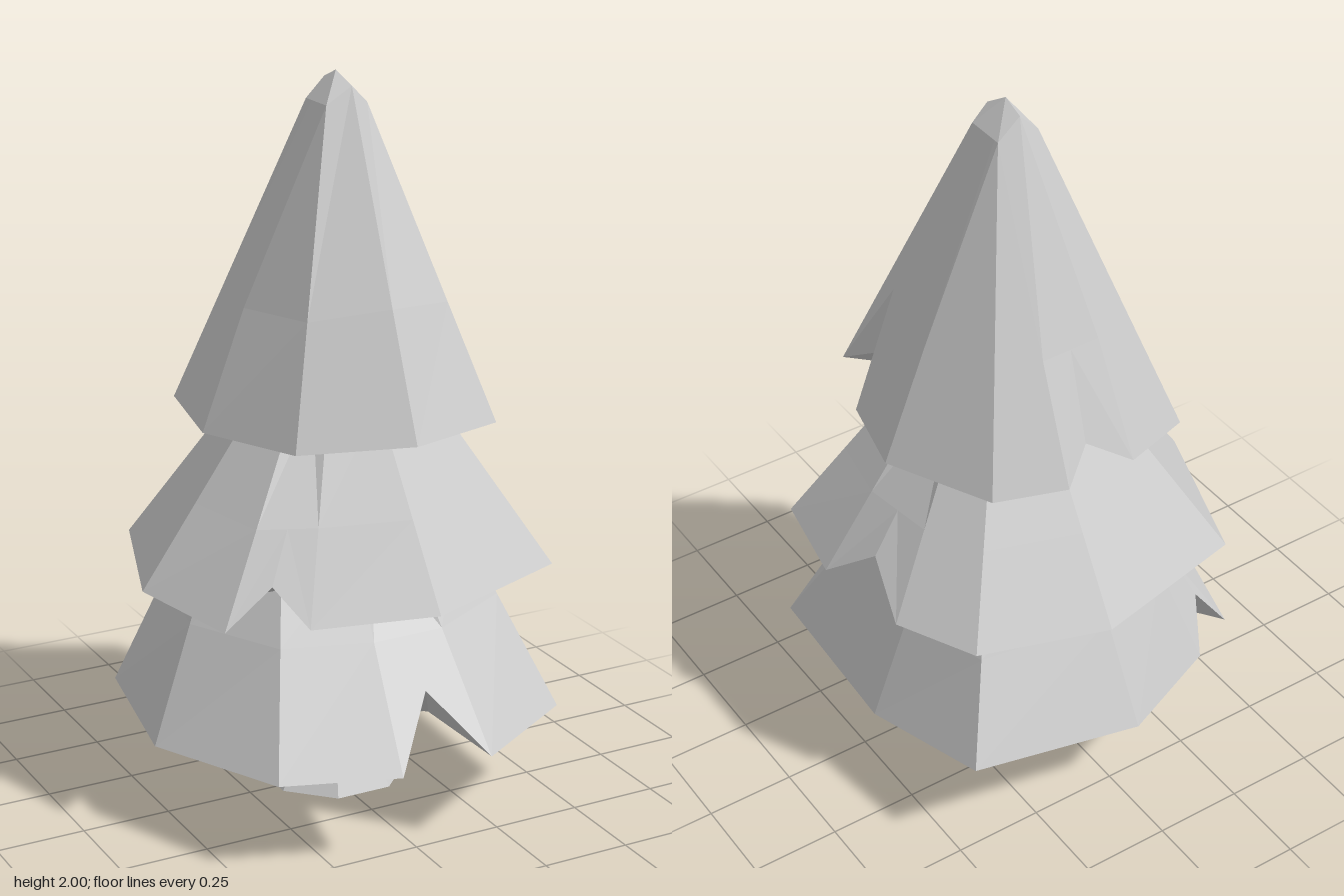
import * as THREE from 'three';

const material = new THREE.MeshStandardMaterial({ color: 0xcccccc, flatShading: true });

// Joins equal-sized closed rings of [x, y, z] from bottom to top.
// flip(i) picks the other quad diagonal, so that notches fold cleanly.
function loft(name, rings, flip) {
  const n = rings[0].length;
  const index = [];
  for (let r = 0; r < rings.length - 1; r++) {
    for (let i = 0; i < n; i++) {
      const j = (i + 1) % n;
      const a = r * n + i, b = r * n + j, c = a + n, d = b + n;
      if (flip(j)) index.push(a, c, d, a, d, b);
      else index.push(a, c, b, c, d, b);
    }
  }
  const geometry = new THREE.BufferGeometry();
  geometry.setAttribute('position', new THREE.Float32BufferAttribute(rings.flat(2), 3));
  geometry.setIndex(index);
  geometry.computeVertexNormals();
  const mesh = new THREE.Mesh(geometry, material);
  mesh.name = name;
  return mesh;
}

// One skirt of branches. rim: [x, y, z, isNotch], clockwise from above.
function tier(name, { rim, top, tip, groove, rise }) {
  const n = rim.length;
  const isNotch = (i) => Boolean(rim[i][3]);
  const lower = rim.map(([x, y, z]) => [x, y, z]);
  const upper = lower.map(top);
  const mix = (p, q, t) => p.map((v, k) => v + (q[k] - v) * t);
  const straight = lower.map((p, i) => mix(p, upper[i], groove));
  // above a notch the groove runs out into the plain slope
  const mid = straight.map((p, i) =>
    isNotch(i) ? mix(straight[(i + n - 1) % n], straight[(i + 1) % n], 0.5) : p);
  const baseY = Math.min(...lower.map((p) => p[1]));
  const inner = lower.map(([x, , z]) => [x * 0.62, baseY + rise, z * 0.62]);
  const hub = lower.map(() => [0.03, baseY + rise, -0.03]);
  return loft(name, [hub, inner, lower, mid, upper, lower.map(() => tip)], isNotch);
}

export function createModel() {
  const tree = new THREE.Group();
  tree.name = 'pineTree';

  // flared trunk
  const trunkRing = (radius, y) => Array.from({ length: 8 }, (_, i) => {
    const a = (i + 0.5) * Math.PI / 4;
    return [0.03 + radius * Math.cos(a), y, -0.045 + radius * Math.sin(a)];
  });
  tree.add(loft('trunk', [
    trunkRing(0, 0), trunkRing(0.21, 0), trunkRing(0.155, 0.1), trunkRing(0.125, 0.25), trunkRing(0.12, 0.4),
  ], () => false));

  // bottom branches
  tree.add(tier('lowerBranches', {
    rim: [
      [-0.49, 0.25, -0.375], [-0.38, 0.4, -0.37, true], [-0.34, 0.25, -0.455],
      [-0.03, 0.25, -0.585], [0.47, 0.32, -0.535], [0.545, 0.25, -0.14],
      [0.52, 0.25, 0.365], [0.18, 0.26, 0.58], [0.045, 0.43, 0.46, true],
      [-0.09, 0.26, 0.585], [-0.4, 0.26, 0.48], [-0.57, 0.245, 0.08],
    ],
    top: ([x, , z]) => [x * 0.62 + 0.015, 0.75, z * 0.5 - 0.07],
    tip: [0.03, 0.8, -0.05], groove: 0.6, rise: 0.07,
  }));

  // middle branches
  tree.add(tier('middleBranches', {
    rim: [
      [-0.395, 0.65, -0.47], [0.06, 0.645, -0.57], [0.415, 0.65, -0.46],
      [0.525, 0.65, -0.24], [0.49, 0.76, -0.085, true], [0.565, 0.645, 0.055],
      [0.52, 0.655, 0.32], [0.045, 0.67, 0.535], [-0.27, 0.645, 0.41],
      [-0.33, 0.74, 0.31, true], [-0.465, 0.635, 0.305], [-0.55, 0.65, -0.025],
    ],
    top: ([x, , z]) => [x * 0.4 + 0.025, 1.15, z * 0.4 - 0.015],
    tip: [0.03, 1.2, -0.03], groove: 0.45, rise: 0.04,
  }));

  // top branches, closing in a small blunt tip
  const { clamp } = THREE.MathUtils;
  tree.add(tier('upperBranches', {
    rim: [
      [-0.29, 1.06, -0.375], [-0.09, 1.065, -0.44], [0.035, 1.15, -0.4, true],
      [0.12, 1.07, -0.45], [0.31, 1.065, -0.38], [0.445, 1.055, -0.08],
      [0.4, 1.07, 0.14], [0.29, 1.18, 0.195, true], [0.325, 1.095, 0.33],
      [0.055, 1.085, 0.385], [-0.23, 1.065, 0.25], [-0.35, 1.055, -0.06],
    ],
    top: ([x, , z]) => {
      const tx = clamp(x, -0.02, 0.1);
      return [tx, 1.98 - Math.abs(tx - 0.04), clamp(z, -0.095, 0.02)];
    },
    tip: [0.037, 2, -0.035], groove: 0.38, rise: 0.04,
  }));

  return tree;
}
